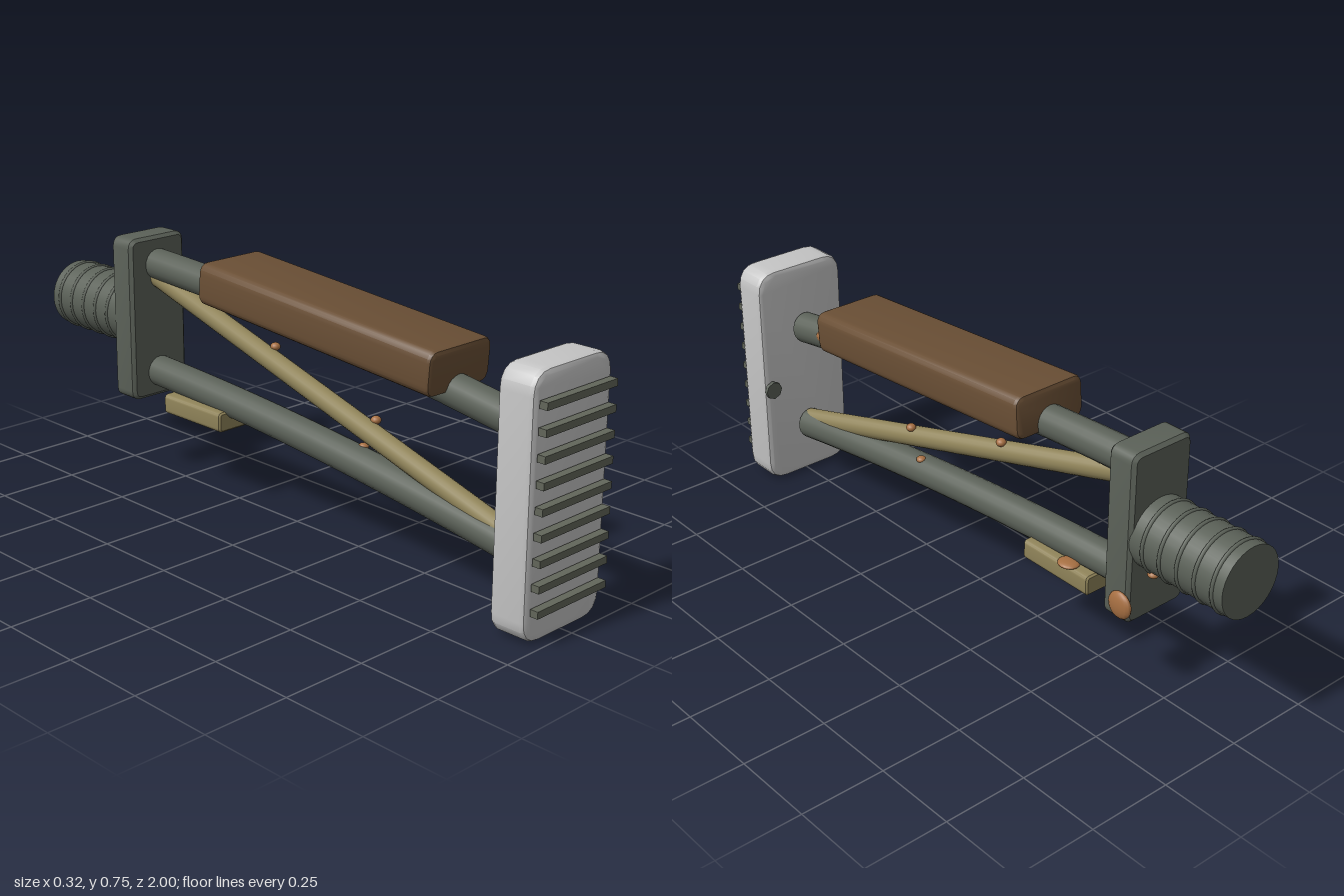
import * as THREE from 'three';
import { toCreasedNormals } from 'three/addons/utils/BufferGeometryUtils.js';

const CX = -0.007; // centre line of the stock

export function createModel() {
  const model = new THREE.Group();
  model.name = 'skeletonStock';
  const paint = (name, color) => {
    const m = new THREE.MeshStandardMaterial({ color });
    m.name = name;
    return m;
  };
  const steel = paint('dark steel', 0x5b6158);
  const rubber = paint('rib grey', 0x62665a);
  const silver = paint('pale grey', 0xc6c6c6);
  const wood = paint('brown', 0x6a4f35);
  const brass = paint('dull brass', 0x8f8359);
  const copper = paint('copper', 0xa66f42);

  const add = (name, geometry, material, x, y, z) => {
    const mesh = new THREE.Mesh(geometry, material);
    mesh.name = name;
    mesh.position.set(x, y, z);
    model.add(mesh);
    return mesh;
  };

  // Centred block with rounded corners in xy and bevelled front and back rims
  function block(w, h, d, radius, bevel, segments = 2) {
    const a = w / 2 - bevel, b = h / 2 - bevel, r = radius;
    const s = new THREE.Shape();
    s.moveTo(-a + r, -b);
    s.lineTo(a - r, -b);
    s.quadraticCurveTo(a, -b, a, -b + r);
    s.lineTo(a, b - r);
    s.quadraticCurveTo(a, b, a - r, b);
    s.lineTo(-a + r, b);
    s.quadraticCurveTo(-a, b, -a, b - r);
    s.lineTo(-a, -b + r);
    s.quadraticCurveTo(-a, -b, -a + r, -b);
    const g = new THREE.ExtrudeGeometry(s, {
      depth: d - 2 * bevel, bevelSize: bevel, bevelThickness: bevel,
      bevelSegments: segments, curveSegments: 4,
    });
    g.translate(0, 0, -d / 2 + bevel);
    return toCreasedNormals(g, 0.5);
  }

  // Capped round bar along z, its centre line bowed upwards
  const Z0 = 0.84, Z1 = -0.62, LENGTH = Z0 - Z1;
  function bar(radius, y0, y1, bow) {
    const g = new THREE.CylinderGeometry(radius, radius, LENGTH, 20, 16);
    g.rotateX(Math.PI / 2);
    g.translate(0, 0, (Z0 + Z1) / 2);
    const p = g.attributes.position;
    for (let i = 0; i < p.count; i++) {
      const z = p.getZ(i), dy = p.getY(i);
      const t = (Z0 - z) / LENGTH;
      const slope = (y1 - y0 + 4 * bow * (1 - 2 * t)) / LENGTH;
      p.setY(i, y0 + (y1 - y0) * t + 4 * bow * t * (1 - t) + dy);
      p.setZ(i, z + slope * dy);
    }
    return g;
  }

  // Butt plate with raised grip ribs
  add('buttPlate', block(0.305, 0.716, 0.112, 0.05, 0.015), silver, -0.007, 0.36, 0.916);
  for (let i = 0; i < 9; i++) {
    add('gripRib', new THREE.BoxGeometry(0.272, 0.02, 0.024), rubber, -0.006, 0.096 + i * 0.0675, 0.988);
  }

  // Screw on the back of the butt plate
  const stem = add('screwStem', new THREE.CylinderGeometry(0.012, 0.012, 0.025, 8), steel, 0.128, 0.337, 0.853);
  const head = add('screwHead', new THREE.CylinderGeometry(0.028, 0.028, 0.012, 8), steel, 0.128, 0.337, 0.84);
  stem.rotation.x = head.rotation.x = Math.PI / 2;

  // Frame bars and diagonal brace
  add('upperBar', bar(0.047, 0.512, 0.662, 0.023), steel, CX, 0, 0);
  add('lowerBar', bar(0.047, 0.175, 0.325, 0.023), steel, CX, 0, 0);
  add('diagonalBrace', bar(0.03, 0.192, 0.628, 0), brass, CX, 0, 0);

  // Cheek rest, tilted with the upper bar
  const cheek = add('cheekRest', block(0.238, 0.126, 0.89, 0.02, 0.012), wood, -0.006, 0.648, 0.166);
  cheek.rotation.x = 0.078;

  // Rear mounting plate and ringed spigot
  add('mountPlate', block(0.208, 0.502, 0.092, 0.02, 0.01, 1), steel, CX, 0.497, -0.646);
  const spigot = add('spigot', new THREE.CylinderGeometry(0.102, 0.102, 0.32, 32), steel, CX, 0.495, -0.84);
  spigot.rotation.x = Math.PI / 2;
  for (let i = 0; i < 5; i++) {
    add('spigotRing', new THREE.TorusGeometry(0.101, 0.006, 8, 32), steel, CX, 0.495, -0.73 - i * 0.059);
  }

  // Catch block under the lower bar
  add('catchBlock', block(0.134, 0.06, 0.254, 0.008, 0.005, 1), brass, CX, 0.255, -0.378);

  // Domed buttons and rivets: position, then half-sizes
  const dome = new THREE.SphereGeometry(1, 16, 10);
  const domes = [
    ['pivotButton', 0.1, 0.303, -0.668, 0.015, 0.04, 0.04],
    ['catchButton', 0.047, 0.287, -0.42, 0.03, 0.01, 0.033],
    ['rivet', 0.036, 0.542, 0.705, 0.008, 0.015, 0.015],
    ['rivet', 0.01, 0.388, 0.3, 0.015, 0.012, 0.015],
    ['rivet', 0.01, 0.3, 0.255, 0.015, 0.01, 0.015],
    ['rivet', 0.01, 0.508, -0.1, 0.015, 0.012, 0.015],
    ['rivet', 0.01, 0.592, -0.21, 0.015, 0.01, 0.015],
    ['rivet', 0.053, 0.411, -0.735, 0.016, 0.01, 0.016],
  ];
  for (const [name, x, y, z, a, b, c] of domes) {
    add(name, dome, copper, x, y, z).scale.set(a, b, c);
  }
  return model;
}
